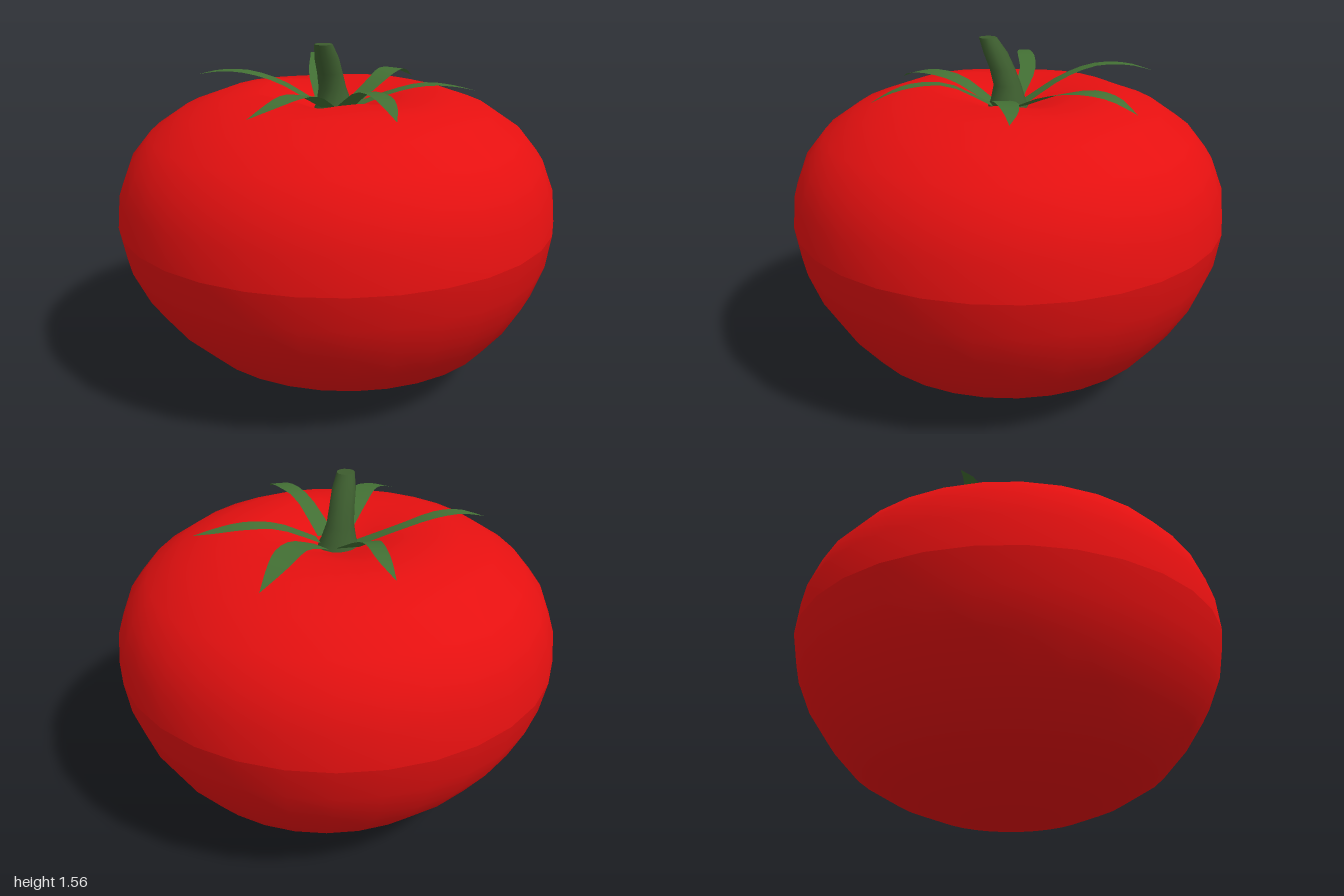
import * as THREE from 'three';
import { mergeVertices, toCreasedNormals } from 'three/addons/utils/BufferGeometryUtils.js';

const mat = (name, color, side = THREE.FrontSide) => {
  const m = new THREE.MeshStandardMaterial({ color, side });
  m.name = name;
  return m;
};

// Lathe whose vertices are then nudged by a rule
function lathe(profile, move) {
  const geo = new THREE.LatheGeometry(profile.map(([r, y]) => new THREE.Vector2(r, y)), 32);
  const p = geo.attributes.position;
  const v = new THREE.Vector3();
  for (let i = 0; i < p.count; i++) {
    v.fromBufferAttribute(p, i);
    move(v);
    p.setXYZ(i, v.x, v.y, v.z * 0.985);
  }
  return geo;
}

// Stem: cylinder rings moved along a leaning path
function stemGeometry(rings) {
  let geo = new THREE.CylinderGeometry(1, 1, 1, 12, rings.length - 1);
  const p = geo.attributes.position;
  for (let i = 0; i < p.count; i++) {
    const [x, y, z, r] = rings[Math.round((p.getY(i) + 0.5) * (rings.length - 1))];
    p.setXYZ(i, x + p.getX(i) * r, y, z + p.getZ(i) * r);
  }
  geo.deleteAttribute('normal');
  geo.deleteAttribute('uv');
  return toCreasedNormals(mergeVertices(geo), 0.9);
}

// Sepal: arched ribbon between two edge curves seen from above, heights along its length
function sepalGeometry({ a, b, tip, h }) {
  const curve = (edge) => new THREE.CatmullRomCurve3(
    [...edge, tip].map(([x, z], i) => new THREE.Vector3(x, h[i], z)));
  const left = curve(a), right = curve(b);
  const n = 10, pos = [], idx = [];
  for (let i = 0; i <= n; i++) {
    pos.push(...left.getPoint(i / n).toArray(), ...right.getPoint(i / n).toArray());
    if (i < n) {
      const k = i * 2;
      idx.push(k, k + 1, k + 2, k + 1, k + 3, k + 2);
    }
  }
  // wind every ribbon so that its face looks up
  const geo = new THREE.BufferGeometry();
  geo.setAttribute('position', new THREE.Float32BufferAttribute(pos, 3));
  geo.setIndex(idx);
  geo.computeVertexNormals();
  if (geo.attributes.normal.getY(8) < 0) {
    geo.setIndex(idx.reverse());
    geo.computeVertexNormals();
  }
  return geo;
}

export function createModel() {
  const group = new THREE.Group();
  const red = mat('tomato red', 0xe51010);
  const stemGreen = mat('stem green', 0x3c5c2e);
  const leafGreen = mat('leaf green', 0x437034, THREE.DoubleSide);
  const add = (name, geo, material) => {
    const mesh = new THREE.Mesh(geo, material);
    mesh.name = name;
    group.add(mesh);
  };

  // Lower half, its base leaning slightly to +x
  add('lowerBody', lathe([
    [0, 0.005], [0.19, 0.018], [0.37, 0.055], [0.545, 0.12], [0.71, 0.215],
    [0.825, 0.34], [0.915, 0.475], [0.975, 0.62], [1, 0.77],
  ], (v) => { v.x += 0.085 * Math.pow(1 - v.y / 0.77, 2); }), red);

  // Upper half with a softly lobed rim around the dip
  add('upperBody', lathe([
    [1, 0.77], [0.985, 0.92], [0.93, 1.06], [0.84, 1.17], [0.7, 1.265],
    [0.54, 1.325], [0.36, 1.343], [0.2, 1.305], [0.09, 1.265], [0, 1.25],
  ], (v) => {
    const r = Math.hypot(v.x, v.z);
    const rim = Math.max(0, 1 - Math.abs(r - 0.36) / 0.25);
    v.y += 0.012 * rim * Math.cos(5 * Math.atan2(v.z, v.x) - 0.6);
  }), red);

  // Stem rings: x, y, z, radius
  add('stem', stemGeometry([
    [-0.01, 1.25, 0, 0.1], [-0.01, 1.29, 0, 0.08], [-0.018, 1.36, 0.003, 0.062],
    [-0.03, 1.43, 0.025, 0.057], [-0.045, 1.5, 0.055, 0.054], [-0.06, 1.565, 0.088, 0.04],
  ]), stemGreen);

  // Six sepals: two edges and tip in x, z plus heights from base to tip
  const sepals = [
    { name: 'backSepal', tip: [-0.095, -0.67], h: [1.28, 1.38, 1.435, 1.435, 1.4],
      a: [[-0.09, -0.08], [-0.12, -0.25], [-0.11, -0.4], [-0.105, -0.55]],
      b: [[0.02, -0.08], [-0.03, -0.25], [-0.04, -0.4], [-0.05, -0.55]] },
    { name: 'backLeftSepal', tip: [0.405, -0.51], h: [1.28, 1.355, 1.385, 1.37, 1.32],
      a: [[0.05, -0.08], [0.16, -0.23], [0.225, -0.36], [0.3, -0.45]],
      b: [[0.1, -0.01], [0.22, -0.13], [0.31, -0.28], [0.36, -0.4]] },
    { name: 'leftSepal', tip: [0.625, 0.03], h: [1.28, 1.35, 1.375, 1.365, 1.345],
      a: [[0.07, -0.01], [0.25, 0.01], [0.4, -0.02], [0.52, -0.01]],
      b: [[0.08, 0.07], [0.25, 0.09], [0.4, 0.07], [0.53, 0.045]] },
    { name: 'frontLeftSepal', tip: [0.21, 0.6], h: [1.28, 1.39, 1.4, 1.375, 1.335],
      a: [[-0.01, 0.08], [0.07, 0.28], [0.125, 0.43], [0.165, 0.52]],
      b: [[0.07, 0.07], [0.14, 0.27], [0.205, 0.42], [0.22, 0.52]] },
    { name: 'frontRightSepal', tip: [-0.38, 0.49], h: [1.28, 1.365, 1.385, 1.365, 1.325],
      a: [[-0.07, 0.06], [-0.18, 0.2], [-0.25, 0.32], [-0.31, 0.41]],
      b: [[0, 0.09], [-0.08, 0.25], [-0.16, 0.38], [-0.26, 0.46]] },
    { name: 'rightSepal', tip: [-0.63, -0.13], h: [1.28, 1.37, 1.415, 1.42, 1.4],
      a: [[-0.08, -0.07], [-0.25, -0.14], [-0.4, -0.15], [-0.53, -0.135]],
      b: [[-0.09, 0], [-0.27, -0.07], [-0.42, -0.07], [-0.53, -0.08]] },
  ];
  for (const s of sepals) add(s.name, sepalGeometry(s), leafGreen);

  return group;
}
